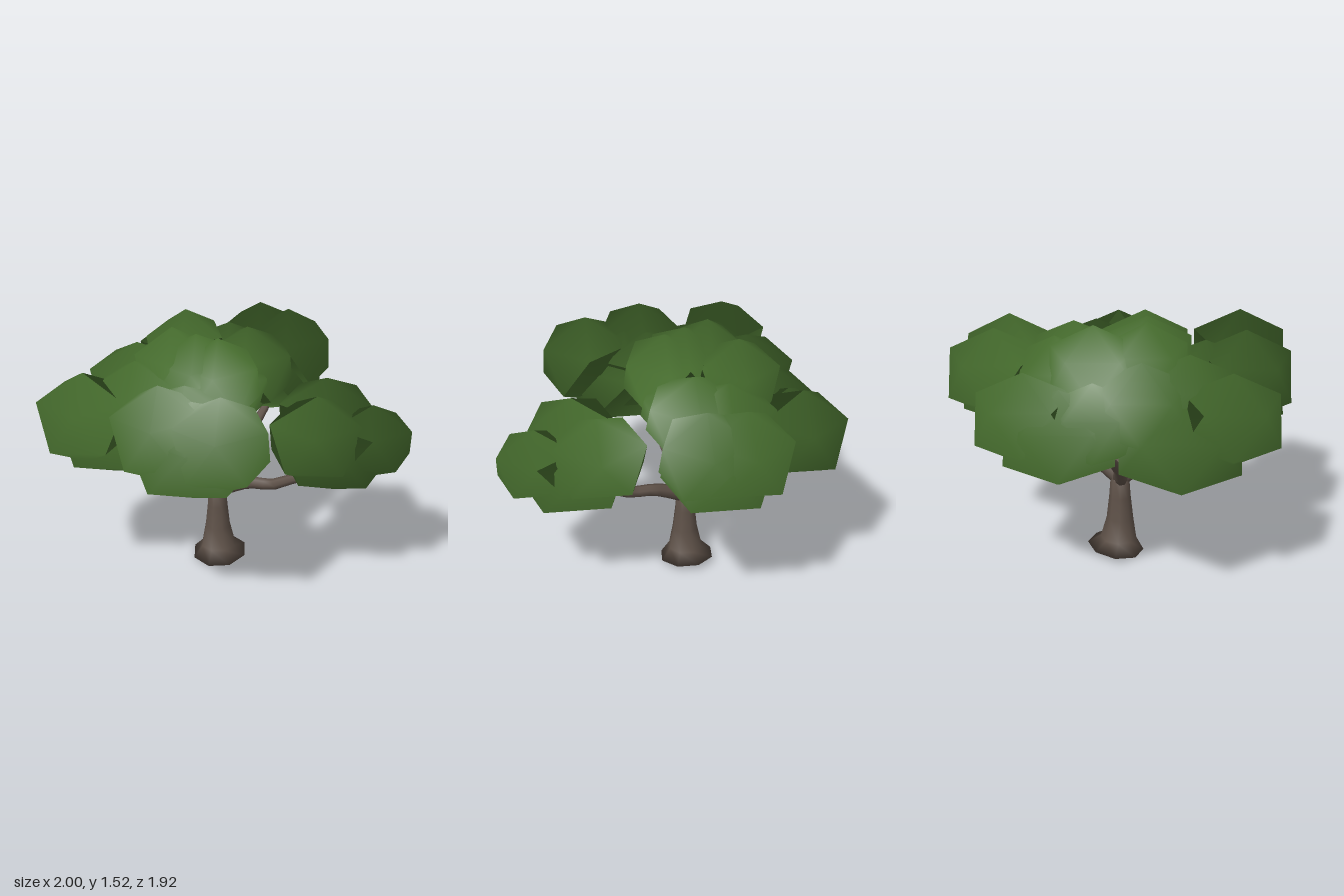
import * as THREE from 'three';
import { mergeGeometries } from 'three/addons/utils/BufferGeometryUtils.js';

const leafGreen = new THREE.MeshStandardMaterial({ name: 'leafGreen', color: 0x456b2d });
const barkBrown = new THREE.MeshStandardMaterial({ name: 'barkBrown', color: 0x5e5148 });

// Foliage is shaded as one soft crown: normals fan out from this point
const CROWN = new THREE.Vector3(-0.12, 0.85, 0);
// Half width and half depth of a unit icosahedron standing on a vertex
const HALF_X = 0.894;
const HALF_Z = 0.851;

// Leaf clumps by cluster: x, y, z, then half width, half height, half depth
const clusters = {
  leftFoliage: [
    [0.45, 0.98, -0.15, 0.28, 0.25, 0.27],
    [0.77, 0.95, -0.02, 0.23, 0.22, 0.21],
    [0.49, 0.97, 0.12, 0.27, 0.26, 0.26],
    [0.55, 0.87, -0.02, 0.32, 0.27, 0.31],
  ],
  frontFoliage: [
    [0.16, 1.12, 0.69, 0.27, 0.28, 0.26],
    [-0.2, 1.13, 0.7, 0.26, 0.28, 0.26],
    [-0.05, 1.01, 0.6, 0.36, 0.29, 0.33],
    [-0.15, 1.08, 0.48, 0.28, 0.25, 0.26],
  ],
  frontRightFoliage: [
    [-0.71, 1.09, 0.6, 0.26, 0.27, 0.26],
    [-0.66, 0.92, 0.33, 0.34, 0.28, 0.33],
    [-0.62, 1.12, 0.12, 0.28, 0.26, 0.26],
    [-0.5, 1.12, 0.38, 0.26, 0.26, 0.26],
  ],
  backRightFoliage: [
    [-0.64, 1.06, -0.51, 0.25, 0.27, 0.26],
    [-0.66, 0.96, -0.32, 0.3, 0.28, 0.3],
    [-0.66, 1.03, -0.14, 0.24, 0.25, 0.24],
  ],
  backFoliage: [
    [-0.19, 1.14, -0.7, 0.25, 0.27, 0.26],
    [0.02, 1.14, -0.63, 0.26, 0.28, 0.25],
    [-0.08, 1.03, -0.58, 0.32, 0.26, 0.31],
  ],
  topFoliage: [
    [-0.38, 1.26, 0.15, 0.21, 0.26, 0.22],
    [-0.23, 1.24, 0.15, 0.26, 0.26, 0.25],
    [-0.1, 1.23, 0.14, 0.24, 0.26, 0.24],
    [-0.43, 1.26, -0.14, 0.23, 0.26, 0.24],
    [-0.09, 1.16, -0.26, 0.27, 0.26, 0.27],
    [-0.25, 1.13, -0.36, 0.28, 0.26, 0.25],
    [-0.22, 1.1, -0.05, 0.34, 0.24, 0.3],
  ],
};

// One icosahedron clump, pole upwards
function clump([x, y, z, rx, ry, rz]) {
  const geo = new THREE.IcosahedronGeometry(1, 0);
  geo.rotateZ(-Math.atan(2 / (1 + Math.sqrt(5))));
  geo.scale(rx / HALF_X, ry, rz / HALF_Z);
  geo.translate(x, y, z);
  const p = geo.attributes.position;
  const v = new THREE.Vector3();
  for (let i = 0; i < p.count; i++) {
    v.fromBufferAttribute(p, i).sub(CROWN).normalize();
    geo.attributes.normal.setXYZ(i, v.x, v.y, v.z);
  }
  return geo;
}

// Tapered limb: straight joints between points, with rings scaled along the path
function limb(name, points, radii) {
  const sides = 7;
  const curve = new THREE.CurvePath();
  const joints = points.map((p) => new THREE.Vector3(...p));
  for (let i = 1; i < joints.length; i++) curve.add(new THREE.LineCurve3(joints[i - 1], joints[i]));
  const segments = 12;
  const geo = new THREE.TubeGeometry(curve, segments, 1, sides);
  const p = geo.attributes.position;
  const v = new THREE.Vector3();
  for (let i = 0; i < p.count; i++) {
    const t = Math.floor(i / (sides + 1)) / segments;
    const k = Math.min(Math.floor(t * (radii.length - 1)), radii.length - 2);
    const r = THREE.MathUtils.lerp(radii[k], radii[k + 1], t * (radii.length - 1) - k);
    const c = curve.getPointAt(t);
    v.fromBufferAttribute(p, i).sub(c).multiplyScalar(r).add(c);
    p.setXYZ(i, v.x, v.y, v.z);
  }
  const mesh = new THREE.Mesh(geo, barkBrown);
  mesh.name = name;
  return mesh;
}

// Trunk with a flared, slightly tilted foot
function trunk() {
  const profile = [[0, 0], [0.165, 0], [0.105, 0.08], [0.078, 0.22], [0.063, 0.36], [0.053, 0.5], [0, 0.54]];
  const geo = new THREE.LatheGeometry(profile.map(([r, y]) => new THREE.Vector2(r, y)), 8);
  const p = geo.attributes.position;
  for (let i = 0; i < p.count; i++) {
    const y = p.getY(i);
    const foot = Math.max(0, 1 - y / 0.12);
    p.setY(i, y + foot * (0.025 - p.getZ(i) * 0.15));
    p.setZ(i, p.getZ(i) - 0.025 * foot);
  }
  const mesh = new THREE.Mesh(geo, barkBrown);
  mesh.name = 'trunk';
  mesh.position.x = -0.175;
  return mesh;
}

export function createModel() {
  const tree = new THREE.Group();
  tree.name = 'tree';
  tree.add(trunk());

  // Branches
  const taper = [0.054, 0.042, 0.036, 0.034, 0.03, 0.026, 0];
  tree.add(
    limb('leftBranch', [[-0.18, 0.46, 0], [0.03, 0.55, 0], [0.18, 0.565, 0.01], [0.33, 0.64, 0.01], [0.58, 0.71, 0]], taper),
    limb('rightBranch', [[-0.16, 0.47, 0], [-0.25, 0.54, 0.01], [-0.41, 0.58, 0.01], [-0.53, 0.7, 0], [-0.66, 0.85, -0.06]], taper),
    limb('frontBranch', [[-0.17, 0.46, -0.02], [-0.17, 0.54, 0.1], [-0.18, 0.635, 0.3], [-0.18, 0.75, 0.45], [-0.17, 0.88, 0.63]], taper),
    limb('backBranch', [[-0.17, 0.46, 0.02], [-0.15, 0.55, -0.1], [-0.12, 0.64, -0.26], [-0.08, 0.77, -0.42], [-0.05, 0.88, -0.58]], taper),
    limb('branchStub', [[-0.18, 0.47, 0], [-0.165, 0.52, 0.04], [-0.13, 0.56, 0.08]], [0.045, 0.04, 0.037, 0.034, 0]),
  );

  // Foliage clusters
  for (const [name, list] of Object.entries(clusters)) {
    const mesh = new THREE.Mesh(mergeGeometries(list.map(clump)), leafGreen);
    mesh.name = name;
    tree.add(mesh);
  }
  return tree;
}
